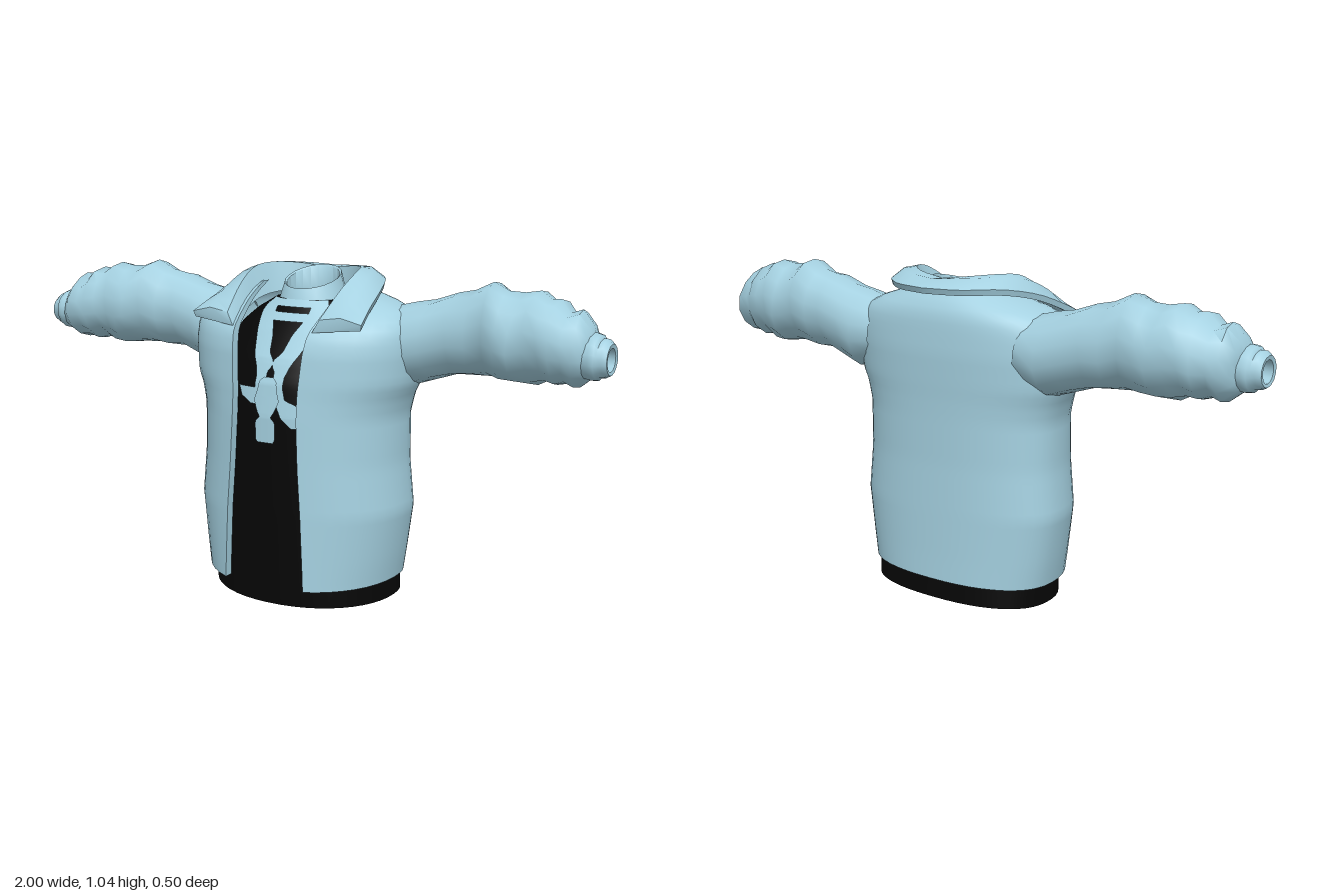
import * as THREE from 'three';
import { toCreasedNormals } from 'three/addons/utils/BufferGeometryUtils.js';

const blue = new THREE.MeshStandardMaterial({ name: 'paleBlueCloth', color: 0xa5d1e1, side: THREE.DoubleSide });
const black = new THREE.MeshStandardMaterial({ name: 'blackCloth', color: 0x060606, side: THREE.DoubleSide });

// Skin a list of rings; optionally close each ring and cap the ends
function loft(rings, { closed = false, caps = [], crease = 0.9 } = {}) {
  const n = rings[0].length, pos = rings.flat(2), idx = [];
  const cols = closed ? n : n - 1;
  for (let i = 0; i < rings.length - 1; i++) {
    for (let j = 0; j < cols; j++) {
      const a = i * n + j, b = i * n + (j + 1) % n;
      idx.push(a, b, a + n, b, b + n, a + n);
    }
  }
  for (const c of caps) {
    for (let j = 1; j < n - 1; j++) {
      if (c === 0) idx.push(0, j + 1, j);
      else idx.push(c * n, c * n + j, c * n + j + 1);
    }
  }
  const g = new THREE.BufferGeometry();
  g.setAttribute('position', new THREE.Float32BufferAttribute(pos, 3));
  g.setIndex(idx);
  return toCreasedNormals(g, crease);
}

function add(group, name, geometry, material) {
  const m = new THREE.Mesh(geometry, material);
  m.name = name;
  group.add(m);
}

// Linear lookup in a table whose first column rises
function sample(table, v) {
  let i = 0;
  while (i < table.length - 2 && v > table[i + 1][0]) i++;
  const a = table[i], b = table[i + 1];
  const t = THREE.MathUtils.clamp((v - a[0]) / (b[0] - a[0]), 0, 1);
  return a.map((k, c) => k + (b[c] - k) * t);
}
const resample = (table, n) => Array.from({ length: n + 1 }, (_, i) =>
  sample(table, table[0][0] + (table.at(-1)[0] - table[0][0]) * i / n));

// Oval body section, a little flatter at the back; the hem dips towards the front
const E = 0.95, E_BACK = 0.85, ZC = -0.03;
function bodyPoint([y, w, zf, zb], t) {
  const c = Math.cos(t), s = Math.sin(t), e = c > 0 ? E : E_BACK;
  const z = ZC + Math.abs(c) ** e * ((c > 0 ? zf : zb) - ZC);
  return [w * Math.sign(s) * Math.abs(s) ** e, y - 0.03 * z * Math.max(0, 1 - y / 0.3), z];
}

// y, half width, front z, back z
const shirtTable = [
  [0.007, 0.315, 0.228, -0.216], [0.1, 0.315, 0.228, -0.205], [0.3, 0.32, 0.228, -0.2], [0.6, 0.31, 0.224, -0.195],
  [0.7, 0.3, 0.208, -0.195], [0.77, 0.28, 0.178, -0.19], [0.85, 0.24, 0.12, -0.18],
  [0.9, 0.18, 0.078, -0.165], [0.94, 0.11, 0.048, -0.15],
];
// y, half width, front z, back z, half width of the front opening
const jacketTable = [
  [0.072, 0.325, 0.276, -0.222, 0.143], [0.15, 0.338, 0.272, -0.219, 0.14], [0.3, 0.36, 0.266, -0.215, 0.133],
  [0.45, 0.345, 0.262, -0.21, 0.122], [0.6, 0.345, 0.256, -0.21, 0.115], [0.66, 0.36, 0.25, -0.211, 0.115],
  [0.7, 0.38, 0.246, -0.213, 0.117], [0.8, 0.39, 0.235, -0.216, 0.125], [0.86, 0.385, 0.217, -0.213, 0.132],
  [0.9, 0.365, 0.165, -0.21, 0.14], [0.93, 0.325, 0.125, -0.205, 0.145], [0.955, 0.24, 0.09, -0.19, 0.148],
  [0.985, 0.165, 0.05, -0.165, 0.148],
];

// Cloth detail lying on the shirt front; rows are y, left x, right x
function shirtPatch(rows, lift = 0.006) {
  return loft(resample(rows, 30).map(([y, x0, x1]) => {
    const [, w, zf] = sample(shirtTable, y);
    return Array.from({ length: 9 }, (_, j) => {
      const x = x0 + (x1 - x0) * j / 8;
      const k = Math.max(0, 1 - (Math.abs(x) / w) ** (2 / E)) ** (E / 2);
      return [x, y, ZC + (zf - ZC) * k + lift];
    });
  }));
}

// x, top y, bottom y, back z, front z
const sleeveTable = [
  [0.28, 0.925, 0.72, -0.18, 0.05], [0.36, 0.945, 0.69, -0.187, 0.06], [0.42, 0.958, 0.712, -0.182, 0.05],
  [0.5, 0.982, 0.735, -0.175, 0.042], [0.56, 0.99, 0.735, -0.172, 0.048], [0.62, 1.025, 0.745, -0.174, 0.06],
  [0.67, 1.0, 0.74, -0.17, 0.085], [0.715, 0.995, 0.73, -0.172, 0.08], [0.76, 1.01, 0.735, -0.168, 0.075],
  [0.8, 0.985, 0.75, -0.158, 0.08], [0.835, 0.985, 0.738, -0.155, 0.092], [0.87, 0.955, 0.752, -0.13, 0.085],
  [0.905, 0.965, 0.742, -0.13, 0.09], [0.935, 0.925, 0.77, -0.1, 0.075], [0.945, 0.89, 0.79, -0.06, 0.06],
];
const cuffTable = [
  [0.92, 0.9, 0.775, -0.07, 0.07], [0.95, 0.907, 0.77, -0.073, 0.075], [0.965, 0.903, 0.772, -0.068, 0.074],
  [0.972, 0.892, 0.78, -0.056, 0.066], [0.985, 0.893, 0.782, -0.052, 0.063], [1.0, 0.88, 0.79, -0.042, 0.056],
  [0.998, 0.868, 0.8, -0.027, 0.042], [0.9, 0.868, 0.8, -0.027, 0.042],
];
function tubeRings(table, side, wrinkle) {
  return table.map(([x, top, bottom, back, front], i) => Array.from({ length: 14 }, (_, j) => {
    const a = -side * j / 14 * Math.PI * 2;
    const r = 1 + wrinkle * Math.sin(a * 3 * side + i * 2.1) * Math.min(1, i / 4);
    return [side * (x + wrinkle * 0.2 * Math.sin(2 * a * side + i)),
      (top + bottom) / 2 + (top - bottom) / 2 * r * Math.cos(a),
      (front + back) / 2 + (front - back) / 2 * r * Math.sin(a)];
  }));
}

// Collar lines from back centre to front tip: neck edge, fold, outer edge
const collarLines = [
  [[0, 0.95, -0.145], [0.085, 0.95, -0.125], [0.135, 0.945, -0.06], [0.15, 0.935, 0.02], [0.148, 0.91, 0.1], [0.142, 0.865, 0.195]],
  [[0, 1.022, -0.15], [0.095, 1.033, -0.13], [0.158, 1.038, -0.075], [0.183, 1.03, 0.0], [0.18, 0.985, 0.09], [0.165, 0.905, 0.19]],
  [[0, 1.003, -0.247], [0.12, 1.003, -0.217], [0.213, 1.003, -0.135], [0.26, 0.98, -0.02], [0.283, 0.94, 0.09], [0.302, 0.898, 0.18]],
].map((line) => new THREE.CatmullRomCurve3(line.map((p) => new THREE.Vector3(...p))));
function collarGeometry() {
  const steps = 14;
  const section = (i, s) => {
    const [n, f, o] = collarLines.map((c) => c.getPoint(i / steps).toArray());
    const m = f.map((v, k) => (v + o[k]) / 2);
    return [n, f, [m[0], m[1] + 0.013, m[2]], o, [o[0] * 0.985, o[1] - 0.018, o[2] * 0.97],
      [f[0] * 1.04, f[1] - 0.03, f[2]]].map(([x, y, z]) => [x * s, y, z]);
  };
  const rings = Array.from({ length: 2 * steps + 1 }, (_, k) => section(Math.abs(steps - k), k < steps ? 1 : -1));
  return loft(rings, { closed: true, caps: [0, 2 * steps], crease: 0.8 });
}

export function createModel() {
  const model = new THREE.Group();
  model.name = 'jacketAndShirt';

  // Undershirt with closed hem
  const shirtRings = resample(shirtTable, 48).map((r) =>
    Array.from({ length: 48 }, (_, j) => bodyPoint(r, j / 48 * Math.PI * 2)));
  add(model, 'shirt', loft(shirtRings, { closed: true, caps: [0] }), black);

  // Open jacket body with turned-in front edges
  const jacketRings = resample(jacketTable, 40).map((r) => {
    const t0 = Math.asin((r[4] / r[1]) ** (1 / E));
    const ring = Array.from({ length: 41 }, (_, j) => bodyPoint(r, t0 + (Math.PI - t0) * 2 * j / 40));
    const [x, y, z] = ring[0];
    return [[x, y, z - 0.03], ...ring, [-x, y, z - 0.03]];
  });
  add(model, 'jacketBody', loft(jacketRings), blue);
  add(model, 'collar', collarGeometry(), blue);

  // Neck band, higher at the back
  const band = [[0.112, 0.912, 0.94], [0.1, 0.95, 0.985], [0.09, 0.972, 1.032], [0.084, 0.968, 1.027], [0.084, 0.92, 0.95]];
  add(model, 'neckBand', loft(band.map(([r, yf, yb]) => Array.from({ length: 20 }, (_, j) => {
    const a = j / 20 * Math.PI * 2, k = (1 + Math.cos(a)) / 2;
    return [r * Math.sin(a), yb + (yf - yb) * k, -0.05 + r * Math.cos(a)];
  })), { closed: true }), blue);

  // Wrinkled sleeves and cuffs
  for (const [side, label] of [[1, 'left'], [-1, 'right']]) {
    add(model, label + 'Sleeve', loft(tubeRings(sleeveTable, side, 0.03), { closed: true, crease: 1.2 }), blue);
    add(model, label + 'Cuff', loft(tubeRings(cuffTable, side, 0), { closed: true, crease: 0.9 }), blue);

    // Crossing chest strap
    const strap = [[0.68, 0.03, 0.05], [0.72, 0.012, 0.05], [0.735, 0.012, 0.055], [0.75, 0, 0.06], [0.768, 0, 0.07],
      [0.79, 0.022, 0.082], [0.84, 0.034, 0.1], [0.875, 0.052, 0.112], [0.9, 0.06, 0.118], [0.925, 0.06, 0.112]];
    add(model, label + 'Strap', shirtPatch(strap.map(([y, a, b]) => side > 0 ? [y, a, b] : [y, -b, -a])), blue);
  }

  // Chest bands, strap ends and pendant
  add(model, 'upperChestBand', shirtPatch([[0.918, -0.112, 0.112], [0.94, -0.095, 0.095]]), blue);
  add(model, 'lowerChestBand', shirtPatch([[0.877, -0.058, 0.058], [0.902, -0.062, 0.062]]), blue);
  add(model, 'leftStrapEnd', shirtPatch([[0.57, 0.085, 0.105], [0.6, 0.05, 0.105], [0.64, 0.03, 0.1], [0.655, 0.03, 0.06], [0.69, 0.025, 0.05]]), blue);
  add(model, 'rightStrapEnd', shirtPatch([[0.635, -0.06, -0.03], [0.655, -0.1, -0.03], [0.685, -0.115, -0.025]]), blue);
  add(model, 'pendant', shirtPatch([[0.52, -0.028, 0.028], [0.53, -0.035, 0.035], [0.585, -0.035, 0.035], [0.6, -0.02, 0.02],
    [0.615, -0.03, 0.03], [0.65, -0.045, 0.045], [0.68, -0.035, 0.035], [0.71, -0.03, 0.03], [0.72, -0.015, 0.015]], 0.012), blue);

  return model;
}
